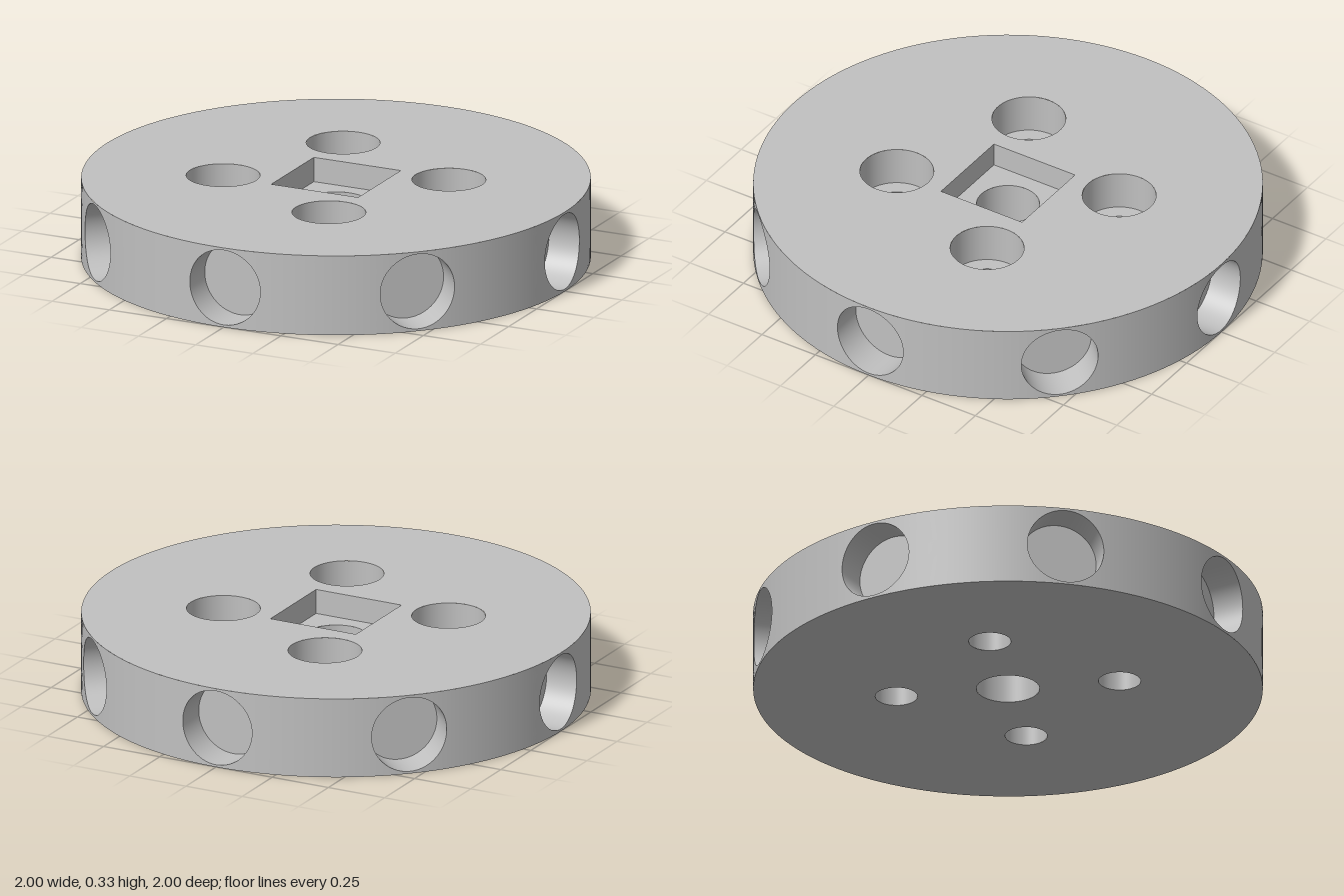
import * as THREE from 'three';
import { ParametricGeometry } from 'three/addons/geometries/ParametricGeometry.js';

const H = 0.327, MID = H / 2;            // disc thickness
const POCKET_R = 0.154, FLOOR = 0.855;   // rim pockets
const SQ = 0.19, SQ_D = 0.1, BORE = 0.124; // centre recess
const CB = 0.145, CB_D = 0.16, BOLT = 0.083; // bolt holes
const boltX = 0.41, boltZ = -0.17;

export function createModel() {
  const group = new THREE.Group();
  const grey = new THREE.MeshStandardMaterial({ color: 0xc0c0c0 });
  grey.name = 'grey';

  const add = (name, geometry, parent = group) => {
    const mesh = new THREE.Mesh(geometry, grey);
    mesh.name = name;
    parent.add(mesh);
    return mesh;
  };
  const circle = (Type, x, y, r) => {
    const c = new Type();
    c.absarc(x, y, r, 0, Math.PI * 2, false);
    return c;
  };
  // Square outline
  const square = (Type) => new Type([[-1, -1], [1, -1], [1, 1], [-1, 1]]
    .map(([x, y]) => new THREE.Vector2(x * SQ, y * SQ)));
  // Four positions turned about the axis
  const boltCentres = [0, 1, 2, 3].map((i) =>
    new THREE.Vector2(boltX, boltZ).rotateAround(new THREE.Vector2(), i * Math.PI / 2));
  // One straight piece of a turned profile; running downwards it faces the axis
  const turned = (r0, y0, r1, y1) =>
    new THREE.LatheGeometry([new THREE.Vector2(r0, y0), new THREE.Vector2(r1, y1)], 48);

  // Top face
  const top = circle(THREE.Shape, 0, 0, 1);
  top.holes.push(square(THREE.Path));
  boltCentres.forEach((c) => top.holes.push(circle(THREE.Path, c.x, -c.y, CB)));
  add('topFace', new THREE.ShapeGeometry(top, 64).rotateX(-Math.PI / 2).translate(0, H, 0));

  // Bottom face
  const bottom = circle(THREE.Shape, 0, 0, 1);
  bottom.holes.push(circle(THREE.Path, 0, 0, BORE));
  boltCentres.forEach((c) => bottom.holes.push(circle(THREE.Path, c.x, c.y, BOLT)));
  add('bottomFace', new THREE.ShapeGeometry(bottom, 64).rotateX(Math.PI / 2));

  // Square recess with a round bore
  const recess = new THREE.Group();
  recess.name = 'squareRecess';
  group.add(recess);
  for (let i = 0; i < 4; i++) {
    add('recessWall', new THREE.PlaneGeometry(SQ * 2, SQ_D)
      .translate(0, H - SQ_D / 2, -SQ).rotateY(i * Math.PI / 2), recess);
  }
  const recessFloor = square(THREE.Shape);
  recessFloor.holes.push(circle(THREE.Path, 0, 0, BORE));
  add('recessFloor', new THREE.ShapeGeometry(recessFloor, 32)
    .rotateX(-Math.PI / 2).translate(0, H - SQ_D, 0), recess);
  add('centreBore', turned(BORE, H - SQ_D, BORE, 0), recess);

  // Counterbored bolt holes
  boltCentres.forEach((c) => {
    const hole = new THREE.Group();
    hole.name = 'boltHole';
    hole.position.set(c.x, 0, c.y);
    group.add(hole);
    add('counterbore', turned(CB, H, CB, H - CB_D), hole);
    add('shoulder', turned(CB, H - CB_D, BOLT, H - CB_D), hole);
    add('shank', turned(BOLT, H - CB_D, BOLT, 0), hole);
  });

  // Rim sector: blends from the pocket edge out to the sector's borders
  const rim = new ParametricGeometry((u, v, p) => {
    const t = -u * Math.PI * 2, c = Math.cos(t), s = Math.sin(t);
    const m = Math.max(Math.abs(c), Math.abs(s));
    const angle = THREE.MathUtils.lerp(Math.asin(POCKET_R * c), c / m * Math.PI / 8, v);
    const y = THREE.MathUtils.lerp(POCKET_R * s, s / m * MID, v);
    p.set(Math.sin(angle), MID + y, Math.cos(angle));
  }, 96, 6);

  // Pocket wall: from the curved rim in to a flat floor
  const wall = new ParametricGeometry((u, v, p) => {
    const t = u * Math.PI * 2, x = POCKET_R * Math.cos(t);
    const z = THREE.MathUtils.lerp(Math.sqrt(1 - x * x), FLOOR, v);
    p.set(x, MID + POCKET_R * Math.sin(t), z);
  }, 96, 1);
  const floor = new THREE.CircleGeometry(POCKET_R, 96).translate(0, MID, FLOOR);

  for (let i = 0; i < 8; i++) {
    const sector = new THREE.Group();
    sector.name = 'rimSector';
    sector.rotation.y = i * Math.PI / 4;
    group.add(sector);
    add('rimSurface', rim, sector);
    add('pocketWall', wall, sector);
    add('pocketFloor', floor, sector);
  }
  return group;
}
